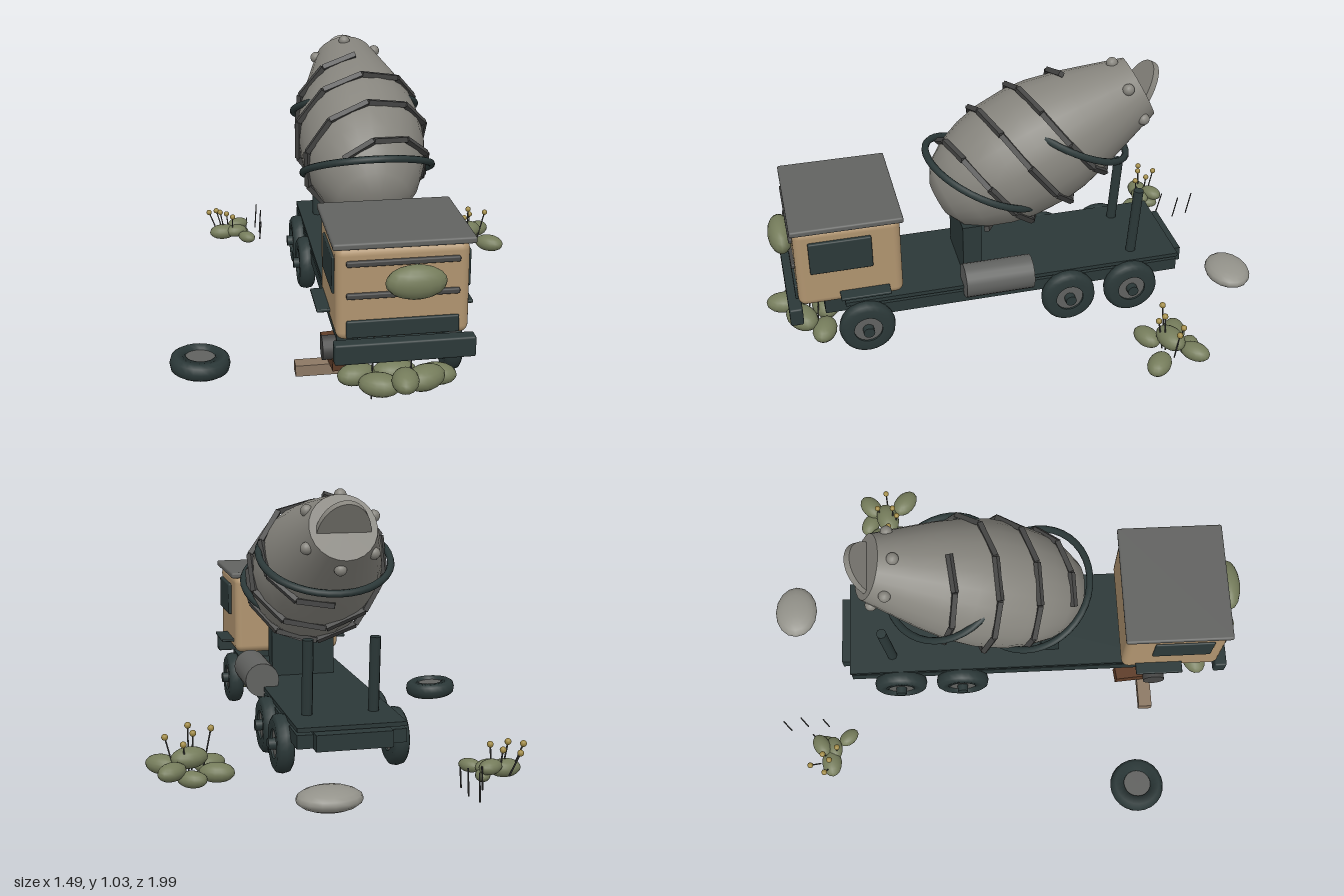
import * as THREE from 'three';
import { RoundedBoxGeometry } from 'three/addons/geometries/RoundedBoxGeometry.js';

const V = (x, y, z) => new THREE.Vector3(x, y, z);
const mat = (name, color) => new THREE.MeshStandardMaterial({ name, color });

export function createModel() {
  const root = new THREE.Group();
  root.name = 'abandonedMixerTruck';
  const M = {
    dark: mat('darkIron', 0x2b3838), cab: mat('sandPaint', 0xb0946f), grey: mat('roofGrey', 0x616260),
    drum: mat('drumGrey', 0x86847d), strap: mat('strapGrey', 0x464645), rock: mat('stone', 0x93928a),
    moss: mat('mossGreen', 0x757c5b), bloom: mat('bloomYellow', 0xa08a45),
    brown: mat('brownWood', 0x5e3c27), plank: mat('paleWood', 0x8c7864),
  };
  const CX = 0.043; // centre line of the truck

  const add = (name, geo, m, x, y, z, parent = root) => {
    const mesh = new THREE.Mesh(geo, m);
    mesh.name = name;
    mesh.position.set(x, y, z);
    parent.add(mesh);
    return mesh;
  };
  const box = (name, m, w, h, d, x, y, z, parent) => add(name, new THREE.BoxGeometry(w, h, d), m, x, y, z, parent);
  const rbox = (name, m, w, h, d, r, x, y, z) => add(name, new RoundedBoxGeometry(w, h, d, 3, r), m, x, y, z);
  const blob = (name, m, rx, ry, rz, x, y, z, parent) => {
    const b = add(name, new THREE.SphereGeometry(1, 16, 10), m, x, y, z, parent);
    b.scale.set(rx, ry, rz);
    return b;
  };
  // straight round or square bar between two points
  const bar = (name, m, a, b, r, sides, parent) => {
    const d = b.clone().sub(a);
    const geo = new THREE.CylinderGeometry(r, r, d.length(), sides);
    const mesh = add(name, sides < 6 ? geo.toNonIndexed() : geo, m, 0, 0, 0, parent);
    if (sides < 6) mesh.geometry.computeVertexNormals();
    mesh.position.copy(a).add(b).multiplyScalar(0.5);
    mesh.quaternion.setFromUnitVectors(V(0, 1, 0), d.normalize());
    return mesh;
  };

  // Chassis and deck
  box('chassis', M.dark, 0.28, 0.06, 1.46, CX, 0.18, 0.04);
  box('deck', M.dark, 0.4, 0.016, 1.35, CX, 0.222, 0.02);
  box('deckSill', M.dark, 0.4, 0.05, 1.3, CX, 0.178, 0);
  box('cabMount', M.dark, 0.3, 0.05, 0.2, CX, 0.245, 0.62);
  rbox('bumper', M.dark, 0.485, 0.075, 0.05, 0.008, CX, 0.228, 0.885);

  // Cab with roof, grille, trim and windows
  rbox('cab', M.cab, 0.456, 0.335, 0.4, 0.03, CX - 0.003, 0.427, 0.67);
  rbox('roof', M.grey, 0.485, 0.024, 0.42, 0.008, CX, 0.602, 0.67);
  rbox('grille', M.dark, 0.385, 0.062, 0.02, 0.006, CX - 0.005, 0.305, 0.87);
  for (const y of [0.425, 0.54]) rbox('frontBar', M.strap, 0.385, 0.02, 0.02, 0.006, CX - 0.005, y, 0.873);
  for (const s of [-1, 1]) {
    rbox('sideWindow', M.dark, 0.018, 0.135, 0.235, 0.006, CX + s * 0.23, 0.48, 0.70);
    rbox('sideStep', M.dark, 0.055, 0.012, 0.19, 0.004, CX + s * 0.25, 0.306, 0.62);
  }
  blob('frontMoss', M.moss, 0.105, 0.06, 0.048, 0.075, 0.477, 0.905);

  // Fuel tank, drum pedestal and rear posts
  add('fuelTank', new THREE.CylinderGeometry(0.067, 0.067, 0.27, 20), M.grey, 0.248, 0.257, 0.098).rotation.x = Math.PI / 2;
  box('drumPedestal', M.dark, 0.26, 0.24, 0.075, CX, 0.33, 0.18);
  for (const s of [-1, 1])
    bar('rearPost', M.dark, V(CX + s * 0.125, 0.225, -0.478), V(CX + s * 0.125, 0.51, -0.498), 0.021, 8);

  // Wheels; the right front one lies on the ground
  const tyreProfile = [[0.055, -0.03], [0.09, -0.032], [0.105, -0.022], [0.11, 0], [0.105, 0.022], [0.09, 0.032], [0.055, 0.03], [0.055, -0.03]]
    .map(([r, y]) => new THREE.Vector2(r, y));
  const wheel = (name, x, y, z, hub) => {
    const g = new THREE.Group();
    g.name = name;
    add('tyre', new THREE.LatheGeometry(tyreProfile, 24), M.dark, 0, 0, 0, g);
    add('rim', new THREE.CylinderGeometry(0.058, 0.058, 0.044, 20), M.grey, 0, 0, 0, g);
    if (hub) add('hub', new THREE.CylinderGeometry(0.022, 0.022, 0.1, 12), M.dark, 0, 0, 0, g);
    g.position.set(x, y, z);
    root.add(g);
    return g;
  };
  for (const z of [0.62, -0.19, -0.45]) {
    bar('axle', M.dark, V(CX - 0.23, 0.12, z), V(CX + 0.23, 0.12, z), 0.018, 10);
    for (const s of [-1, 1]) {
      if (s < 0 && z > 0) continue;
      wheel('wheel', CX + s * 0.215, 0.12, z, true).rotation.z = Math.PI / 2;
    }
  }
  bar('bareHub', M.strap, V(CX - 0.25, 0.12, 0.62), V(CX - 0.2, 0.12, 0.62), 0.045, 14);
  wheel('looseWheel', -0.638, 0.045, 0.52, false).rotation.z = -0.07;

  // Mixing drum: local y runs to the mouth, local z is its upper side
  const drum = new THREE.Group();
  drum.name = 'mixingDrum';
  drum.position.set(CX, 0.91, -0.515);
  drum.rotation.x = -1.115;
  root.add(drum);
  const profile = [[0, 0.895], [0.07, 0.89], [0.14, 0.85], [0.192, 0.77], [0.225, 0.68], [0.243, 0.59],
    [0.248, 0.46], [0.237, 0.37], [0.207, 0.25], [0.165, 0.12], [0.125, 0]];
  add('drumShell', new THREE.LatheGeometry(profile.map(([r, t]) => new THREE.Vector2(r, -t)), 24), M.drum, 0, 0, 0, drum);
  add('drumMouth', new THREE.CircleGeometry(0.125, 24), M.drum, 0, 0, 0, drum).rotation.x = -Math.PI / 2;
  for (let i = 0; i < 6; i++) {
    const a = Math.PI * (i / 3 + 0.2);
    blob('mouthBolt', M.drum, 0.023, 0.023, 0.023, 0.142 * Math.cos(a), -0.05, 0.142 * Math.sin(a), drum);
  }
  const radiusAt = (t) => {
    const i = Math.max(1, profile.findIndex((p) => p[1] <= t));
    const [a, b] = [profile[i - 1], profile[i]];
    return THREE.MathUtils.mapLinear(t, a[1], b[1], a[0], b[0]);
  };
  // Two interleaved spiral straps
  for (const t0 of [0.24, 0.41]) {
    let last = null;
    for (let k = -10; k < 22; k++) {
      const phi = Math.PI / 2 + (k * Math.PI) / 5;
      const t = t0 + 0.034 * k;
      if (t < 0.21 || t > 0.8) continue;
      const r = radiusAt(t) + 0.014;
      const p = V(r * Math.cos(phi), -t, r * Math.sin(phi));
      if (last) bar('spiralStrap', M.strap, last, p, 0.014, 4, drum);
      last = p;
    }
  }
  // Slipped hoops
  for (const [y, z] of [[0.615, 0.1], [0.772, -0.235]])
    add('hoop', new THREE.TorusGeometry(0.25, 0.014, 8, 40), M.dark, CX, y, z).rotation.x = -2.016;
  // Half-round mouth flap
  const flapShape = new THREE.Shape();
  flapShape.absarc(0, 0, 0.1, 0, Math.PI, false);
  const flap = add('mouthFlap', new THREE.ExtrudeGeometry(flapShape, { depth: 0.025, bevelEnabled: false, curveSegments: 16 }),
    M.drum, CX, 0.875, -0.515);
  flap.rotation.x = -0.53;
  flap.scale.y = 1.4;

  // Timber under the bare axle
  box('plank', M.plank, 0.25, 0.042, 0.055, -0.175, 0.028, 0.585);
  box('woodBlock', M.brown, 0.055, 0.045, 0.2, -0.155, 0.075, 0.56).rotation.set(0.1, 0.1, 0);

  // Stone
  blob('stone', M.rock, 0.115, 0.042, 0.09, 0.19, 0.06, -0.91);

  // Bushes: blobs [x, y, z, length, heading], flowers [x, y, z] leaning out of the middle
  const bush = (name, blobs, flowers, foot) => {
    const g = new THREE.Group();
    g.name = name;
    root.add(g);
    for (const [x, y, z, l, a] of blobs) blob('leafClump', M.moss, l, l * 0.55, l * 0.68, x, y, z, g).rotation.y = a;
    for (const [x, y, z] of flowers) {
      const tip = V(x, y, z);
      bar('stem', M.strap, V(x + (foot[0] - x) * 0.4, 0.05, z + (foot[1] - z) * 0.4), tip, 0.003, 6, g);
      blob('flower', M.bloom, 0.012, 0.012, 0.012, x, y, z, g);
    }
  };
  bush('leftBush',
    [[0.51, 0.06, -0.55, 0.065, -0.3], [0.67, 0.08, -0.575, 0.06, 0.7], [0.6, 0.105, -0.5, 0.07, 0.3],
      [0.52, 0.06, -0.435, 0.062, 0.4], [0.69, 0.065, -0.425, 0.065, -0.7], [0.6, 0.05, -0.58, 0.055, -0.5]],
    [[0.52, 0.205, -0.49], [0.6, 0.215, -0.47], [0.625, 0.165, -0.54], [0.685, 0.185, -0.5], [0.58, 0.18, -0.455]], [0.6, -0.5]);
  bush('rightBush',
    [[-0.49, 0.065, -0.75, 0.06, 0.1], [-0.42, 0.085, -0.79, 0.05, 0.5], [-0.43, 0.07, -0.74, 0.05, 0.2],
      [-0.385, 0.06, -0.68, 0.045, -0.9], [-0.4, 0.05, -0.77, 0.04, 1.2]],
    [[-0.55, 0.155, -0.77], [-0.515, 0.14, -0.83], [-0.5, 0.16, -0.75], [-0.47, 0.14, -0.78], [-0.445, 0.145, -0.72]], [-0.45, -0.75]);
  bush('frontBush',
    [[-0.11, 0.1, 0.8, 0.07, 0.3], [-0.04, 0.09, 0.87, 0.075, -0.4], [0.04, 0.125, 0.92, 0.07, 1.4], [0.12, 0.1, 0.86, 0.08, 0.5],
      [0.18, 0.07, 0.78, 0.07, -0.3], [0.03, 0.08, 0.76, 0.08, 0.1]], [], [0.04, 0.85]);

  // Grass blades
  for (const [x, z, h] of [[-0.33, -0.93, 0.12], [-0.315, -0.86, 0.115], [-0.32, -0.77, 0.09], [-0.385, -0.81, 0.1],
    [-0.06, 0.82, 0.24], [0, 0.77, 0.25], [0.08, 0.8, 0.22]])
    bar('grassBlade', M.strap, V(x, 0.01, z), V(x + 0.01, h, z - 0.015), 0.003, 6);

  return root;
}
